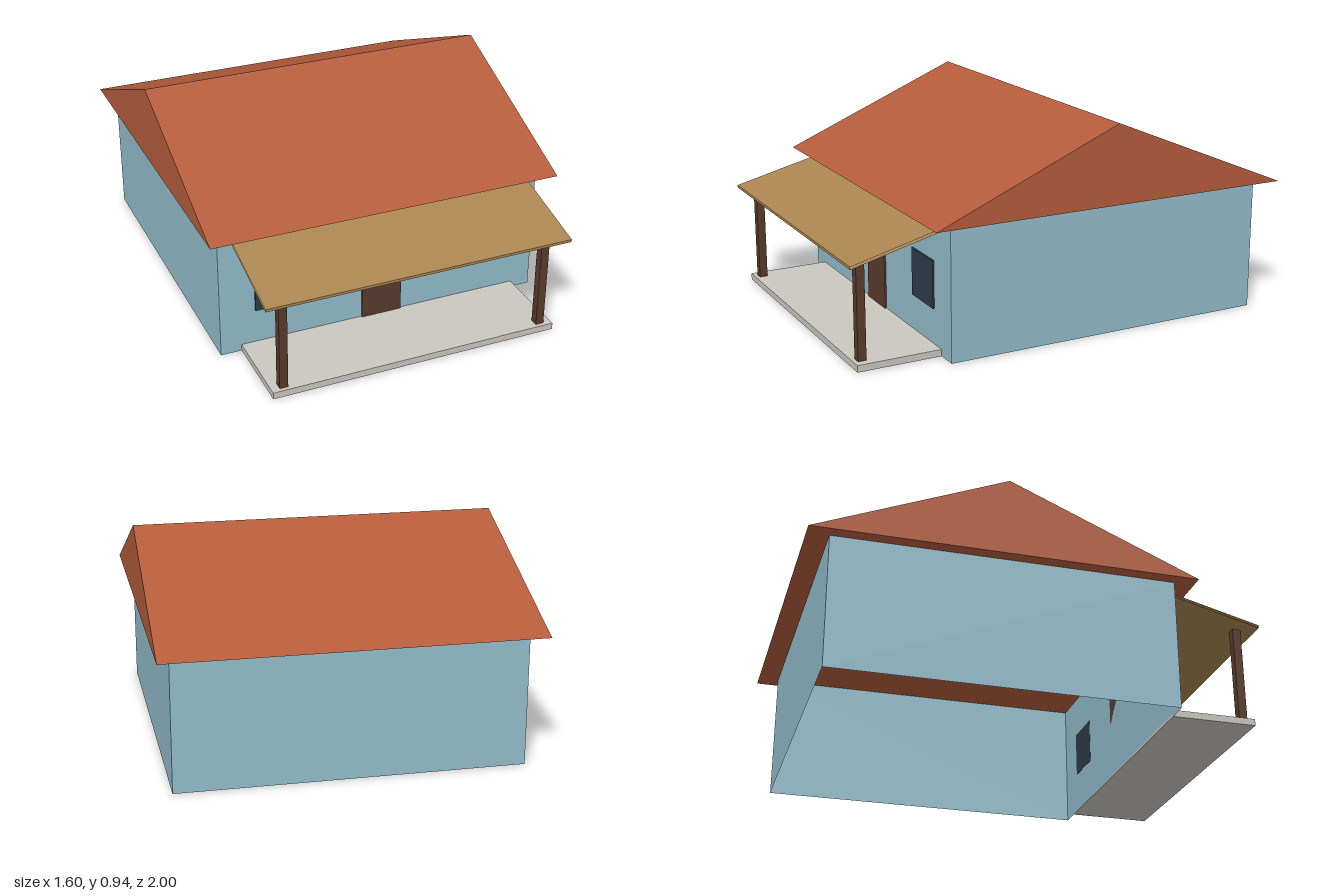
import * as THREE from 'three';

const mat = (name, color, side = THREE.FrontSide) => {
  const m = new THREE.MeshStandardMaterial({ color, side });
  m.name = name;
  return m;
};

export function createModel() {
  const house = new THREE.Group();
  house.name = 'house';

  const wallBlue = mat('wall blue', 0x92bccb, THREE.DoubleSide);
  const roofRed = mat('roof terracotta', 0xb45c3b);
  const awningTan = mat('awning tan', 0xaa8550, THREE.DoubleSide);
  const wood = mat('dark wood', 0x5a3b2c);
  const glass = mat('window glass', 0x2f3c48);
  const concrete = mat('porch concrete', 0xcbc7c0);

  const add = (name, geometry, material) => {
    const mesh = new THREE.Mesh(geometry, material);
    mesh.name = name;
    house.add(mesh);
    return mesh;
  };

  // Box given by its lower and upper corners
  const box = (name, [x0, y0, z0], [x1, y1, z1], material) => {
    const mesh = add(name, new THREE.BoxGeometry(x1 - x0, y1 - y0, z1 - z0), material);
    mesh.position.set((x0 + x1) / 2, (y0 + y1) / 2, (z0 + z1) / 2);
    return mesh;
  };

  // Four walls, open below and above (the box's top and bottom faces are dropped)
  const walls = box('walls', [-0.745, 0, -0.905], [0.745, 0.585, 0.59], wallBlue);
  const faces = Array.from(walls.geometry.index.array);
  walls.geometry.setIndex([...faces.slice(0, 12), ...faces.slice(24)]);
  walls.geometry.clearGroups();

  // Gable roof: a triangular profile in (-z, y), extruded along x
  const gable = new THREE.Shape([
    new THREE.Vector2(-0.68, 0.585),
    new THREE.Vector2(1, 0.585),
    new THREE.Vector2(0.16, 0.935),
  ]);
  const roof = new THREE.ExtrudeGeometry(gable, { depth: 1.604, bevelEnabled: false });
  roof.translate(0, 0, -0.802).rotateY(Math.PI / 2);
  add('roof', roof, roofRed);

  // Sloping porch awning: top, front lip and underside, with open ends
  const profile = [[0.565, 0.59], [0.462, 1], [0.45, 1], [0.553, 0.59]];
  const points = [];
  for (let i = 0; i < profile.length - 1; i++) {
    const [ya, za] = profile[i];
    const [yb, zb] = profile[i + 1];
    const w = 0.69;
    points.push(-w, ya, za, -w, yb, zb, w, yb, zb, -w, ya, za, w, yb, zb, w, ya, za);
  }
  const awning = new THREE.BufferGeometry();
  awning.setAttribute('position', new THREE.Float32BufferAttribute(points, 3));
  awning.computeVertexNormals();
  add('awning', awning, awningTan);

  // Porch floor and front door
  box('porchSlab', [-0.652, 0, 0.59], [0.652, 0.03, 0.965], concrete);
  box('door', [-0.093, 0, 0.59], [0.093, 0.43, 0.598], wood);

  // Windows and awning posts, mirrored
  for (const [side, s] of [['left', 1], ['right', -1]]) {
    const pane = box(side + 'Window', [-0.102, 0.187, 0.589], [0.102, 0.397, 0.597], glass);
    pane.position.x = s * 0.485;
    const post = box(side + 'Post', [-0.0185, 0.03, 0.91], [0.0185, 0.468, 0.947], wood);
    post.position.x = s * 0.598;
  }

  return house;
}
